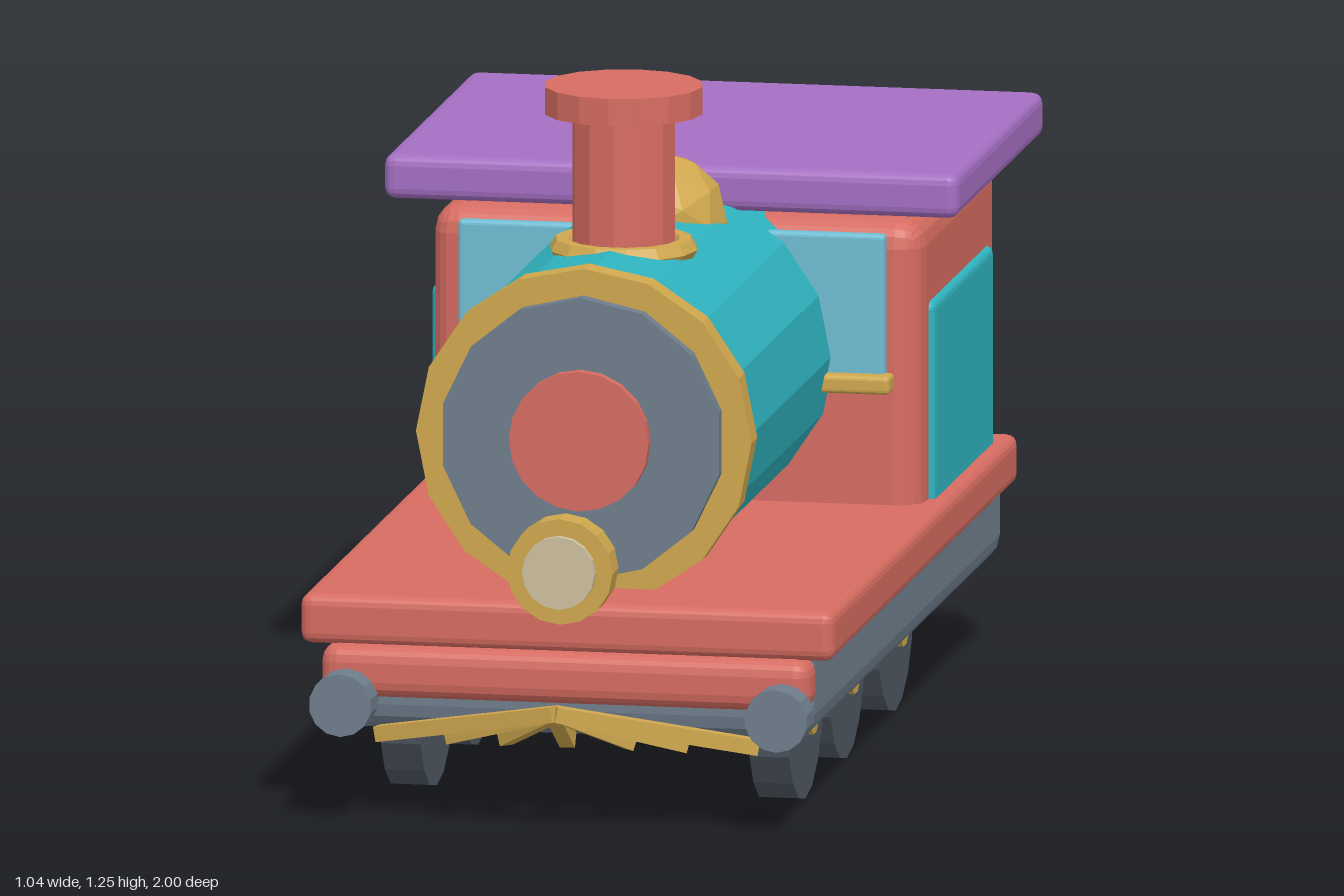
import * as THREE from 'three';
import { RoundedBoxGeometry } from 'three/addons/geometries/RoundedBoxGeometry.js';

const mat = (name, color) => {
  const m = new THREE.MeshStandardMaterial({ color, flatShading: true });
  m.name = name;
  return m;
};

export function createModel() {
  const red = mat('coral red', 0xd66c61);
  const teal = mat('teal', 0x2fb4c0);
  const gold = mat('brass', 0xd0a84e);
  const grey = mat('slate grey', 0x6f7e8d);
  const dark = mat('wheel grey', 0x4f5863);
  const purple = mat('roof purple', 0xa46fc2);
  const glass = mat('window blue', 0x6fbdd3);
  const lens = mat('lamp cream', 0xcdc09d);

  const train = new THREE.Group();
  train.name = 'toyLocomotive';

  const add = (name, geometry, material, x = 0, y = 0, z = 0) => {
    const mesh = new THREE.Mesh(geometry, material);
    mesh.name = name;
    mesh.position.set(x, y, z);
    train.add(mesh);
    return mesh;
  };

  // Rounded box given by its limits; symmetric in x unless an offset is given
  const block = (name, material, halfX, y0, y1, z0, z1, radius, x = 0) =>
    add(name, new RoundedBoxGeometry(2 * halfX, y1 - y0, z1 - z0, 2, radius), material,
      x, (y0 + y1) / 2, (z0 + z1) / 2);

  // Cylinders lying along z, along x, and standing along y
  const drumZ = (name, material, r, z0, z1, sides, y, x = 0) =>
    add(name, new THREE.CylinderGeometry(r, r, z1 - z0, sides).rotateX(Math.PI / 2), material,
      x, y, (z0 + z1) / 2);
  const drumX = (name, material, r, x0, x1, sides, y, z) =>
    add(name, new THREE.CylinderGeometry(r, r, x1 - x0, sides).rotateZ(Math.PI / 2), material,
      (x0 + x1) / 2, y, z);
  const drumY = (name, material, r, y0, y1, sides, z) =>
    add(name, new THREE.CylinderGeometry(r, r, y1 - y0, sides), material, 0, (y0 + y1) / 2, z);

  // Underframe
  block('chassis', grey, 0.435, 0.15, 0.36, -1.0, 0.84, 0.05);
  block('footplate', red, 0.485, 0.312, 0.402, -0.87, 0.88, 0.02);
  block('frontBeam', red, 0.445, 0.22, 0.315, 0.81, 0.9, 0.03);

  // Boiler with front ring, smokebox door and hatch
  const axisY = 0.675;
  drumZ('boiler', teal, 0.29, -0.36, 0.68, 16, axisY);
  drumZ('boilerRing', gold, 0.305, 0.662, 0.716, 16, axisY);
  drumZ('smokeboxDoor', grey, 0.257, 0.7, 0.742, 14, axisY);
  drumZ('doorHatch', red, 0.127, 0.72, 0.763, 20, axisY);

  // Chimney and steam dome
  const collar = new THREE.TorusGeometry(0.112, 0.022, 6, 14).rotateX(Math.PI / 2);
  add('chimneyCollar', collar, gold, 0, 0.948, 0.34);
  drumY('chimney', red, 0.093, 0.9, 1.2, 12, 0.34);
  drumY('chimneyCap', red, 0.143, 1.195, 1.245, 16, 0.34);
  add('steamDome', new THREE.IcosahedronGeometry(0.125, 1), gold, 0, 0.936, 0.01);

  // Cab, roof and front window
  block('cab', red, 0.446, 0.302, 0.916, -0.87, -0.15, 0.05);
  block('roof', purple, 0.522, 0.934, 1.015, -0.92, -0.1, 0.02);
  block('cabWindow', glass, 0.388, 0.63, 0.9, -0.135, -0.108, 0.008);
  block('windowSill', gold, 0.402, 0.615, 0.648, -0.13, -0.077, 0.008);

  // Headlamp
  drumZ('headlampRim', gold, 0.096, 0.885, 0.942, 16, 0.472);
  drumZ('headlampLens', lens, 0.066, 0.93, 0.957, 16, 0.472);

  for (const s of [-1, 1]) {
    // Cab side panel
    block('cabSidePanel', teal, 0.02, 0.34, 0.76, -0.78, -0.22, 0.015, s * 0.438);

    // Front bumper: shank and head
    drumZ('bumperShank', grey, 0.048, 0.84, 0.9, 14, 0.218, s * 0.396);
    drumZ('bumperHead', grey, 0.057, 0.893, 0.96, 14, 0.218, s * 0.396);

    // Wheels with brass hubs
    for (const z of [0.55, 0.16, -0.3]) {
      drumX('wheel', dark, 0.167, s * 0.335 - 0.036, s * 0.335 + 0.036, 16, 0.167, z);
      drumX('wheelHub', gold, 0.05, s * 0.37 - 0.018, s * 0.37 + 0.018, 10, 0.167, z);
    }
  }

  // Pilot bars fanning down and back from a common nose
  const nose = new THREE.Vector3(0, 0.222, 0.985);
  for (const x of [-0.345, -0.215, -0.115, 0, 0.115, 0.215, 0.345]) {
    const foot = new THREE.Vector3(x, 0.152, 0.865);
    const bar = add('pilotBar',
      new THREE.BoxGeometry(0.028, 0.028, nose.distanceTo(foot)), gold);
    bar.position.copy(nose).add(foot).multiplyScalar(0.5);
    bar.lookAt(nose);
  }

  return train;
}
